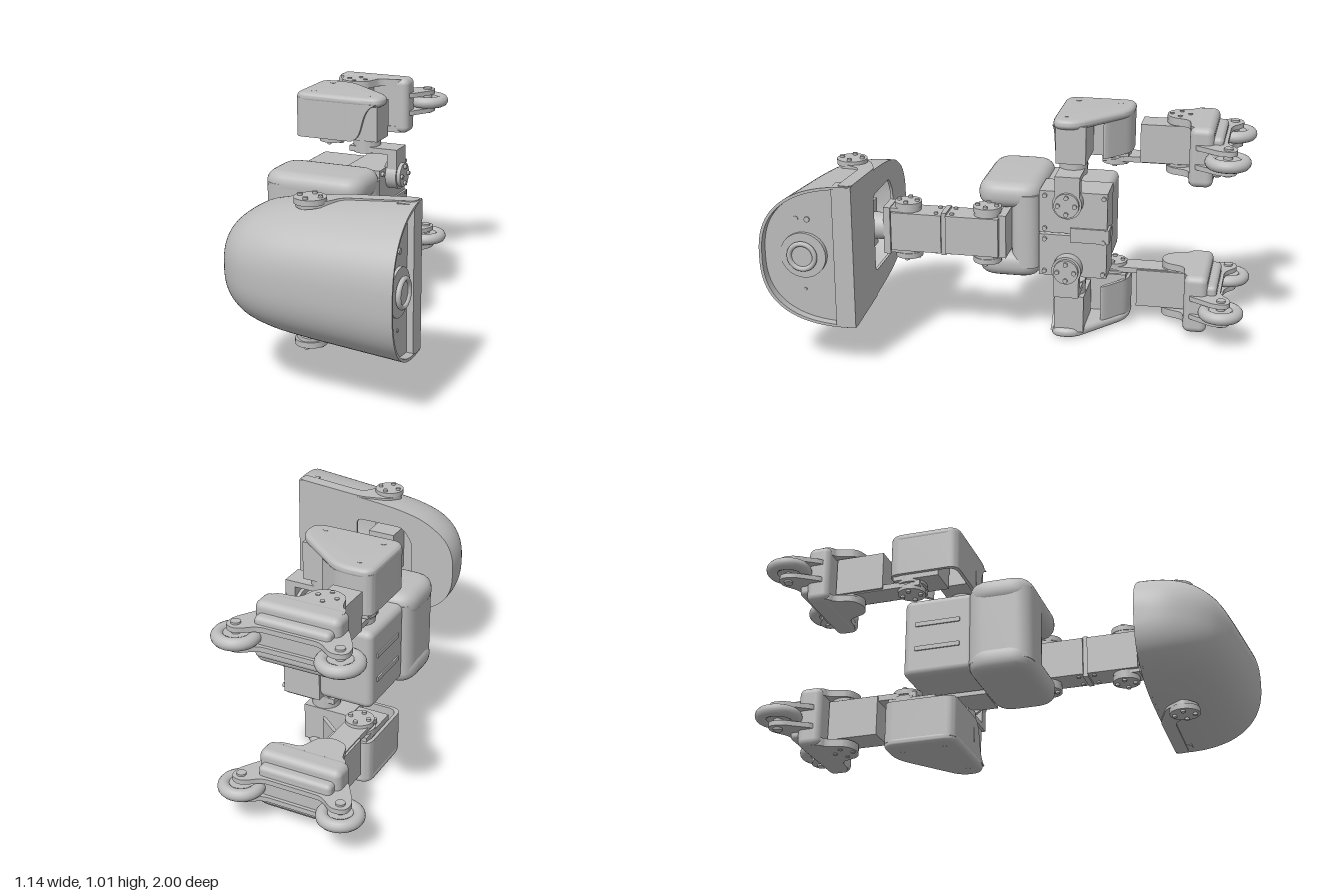
import * as THREE from 'three';
import { toCreasedNormals } from 'three/addons/utils/BufferGeometryUtils.js';
import { RoundedBoxGeometry } from 'three/addons/geometries/RoundedBoxGeometry.js';

const grey = new THREE.MeshStandardMaterial({ color: 0xbdbdbd, side: THREE.DoubleSide });
grey.name = 'light grey';
const MID = 0.507; // height of the symmetry plane

function add(parent, name, geometry) {
  const mesh = new THREE.Mesh(geometry, grey);
  mesh.name = name;
  parent.add(mesh);
  return mesh;
}

// Box given by its limits, optionally rounded
function box(parent, name, x0, x1, y0, y1, z0, z1, r = 0) {
  const s = [x1 - x0, y1 - y0, z1 - z0];
  const g = r ? new RoundedBoxGeometry(...s, 5, r) : new THREE.BoxGeometry(...s);
  g.translate((x0 + x1) / 2, (y0 + y1) / 2, (z0 + z1) / 2);
  return add(parent, name, g);
}

function disc(parent, name, axis, r, len, x, y, z) {
  const g = new THREE.CylinderGeometry(r, r, len, 32);
  if (axis === 'x') g.rotateZ(-Math.PI / 2);
  if (axis === 'z') g.rotateX(Math.PI / 2);
  g.translate(x, y, z);
  return add(parent, name, g);
}

// Servo horn with four bolt heads, on a y or x axis; side is the outward direction
function horn(parent, axis, r, x, y, z, side = 1) {
  const group = new THREE.Group();
  group.name = 'servoHorn';
  disc(group, 'hornDisc', 'y', r, 0.024, 0, 0, 0);
  for (let i = 0; i < 4; i++) {
    const a = i * Math.PI / 2;
    disc(group, 'bolt', 'y', 0.01, 0.012, Math.cos(a) * r * 0.68, side * 0.016, Math.sin(a) * r * 0.68);
  }
  if (axis === 'x') group.rotation.z = -Math.PI / 2;
  group.position.set(x, y, z);
  parent.add(group);
}

// Polygon with rounded corners
function roundedShape(points, r) {
  const s = new THREE.Shape();
  const v = points.map((p) => new THREE.Vector2(...p));
  v.forEach((p, i) => {
    const prev = v[(i + v.length - 1) % v.length], next = v[(i + 1) % v.length];
    const cut = (q) => p.clone().add(q.clone().sub(p).setLength(Math.min(r, q.distanceTo(p) * 0.48)));
    const a = cut(prev), b = cut(next);
    if (i) s.lineTo(a.x, a.y); else s.moveTo(a.x, a.y);
    s.quadraticCurveTo(p.x, p.y, b.x, b.y);
  });
  s.closePath();
  return s;
}

// Horizontal plate from [x, z] points between two heights
function plate(parent, name, points, y0, y1, r, bevel = 0) {
  const shape = roundedShape(points.map(([x, z]) => [x, -z]), r);
  const g = new THREE.ExtrudeGeometry(shape, {
    depth: y1 - y0 - 2 * bevel, curveSegments: 8, bevelEnabled: bevel > 0,
    bevelSize: bevel, bevelThickness: bevel, bevelOffset: -bevel, bevelSegments: 5,
  });
  g.rotateX(-Math.PI / 2).translate(0, y0 + bevel, 0);
  return add(parent, name, toCreasedNormals(g, 0.6));
}

function makeHead() {
  const head = new THREE.Group();
  head.name = 'head';
  // Stations along x: position, half width, height; smoothed by a spline
  const stations = [[-0.282, 0.001, 0.001], [-0.279, 0.06, 0.08], [-0.265, 0.112, 0.145], [-0.238, 0.156, 0.204],
    [-0.2, 0.19, 0.255], [-0.15, 0.221, 0.296], [-0.1, 0.242, 0.321], [0, 0.265, 0.349],
    [0.13, 0.281, 0.366], [0.3, 0.296, 0.381], [0.53, 0.315, 0.4]];
  const key = new THREE.CatmullRomCurve3(stations.map((s) => new THREE.Vector3(...s))).getPoints(40).map((p) => p.toArray());
  const N = 48, pos = [], idx = [];
  const rows = key.map((k) => [...k, 0.6]);
  // Front rim, then the recessed face above the chin
  rows.push([0.53, 0.303, 0.388, 0.685], [0.497, 0.301, 0.386, 0.687], [0.497, 0.002, 0.002, 0.687]);
  for (const [x, w, h, floor] of rows) {
    for (let j = 0; j <= N; j++) {
      const a = Math.PI * j / N, c = Math.cos(a), e = 2 / 2.5;
      const y = Math.sign(c) * Math.abs(c) ** e * w;
      const z = Math.max(0.6 + Math.max(Math.sin(a), 0) ** e * h, floor);
      const lean = Math.max(x, 0) / 0.53 * 0.1 * (z - 0.6);
      pos.push(x + lean, MID + y, z);
    }
  }
  for (let i = 0; i < rows.length - 1; i++) {
    for (let j = 0; j < N; j++) {
      const a = i * (N + 1) + j, b = a + N + 1;
      idx.push(a, b, a + 1, b, b + 1, a + 1);
    }
  }
  const g = new THREE.BufferGeometry();
  g.setAttribute('position', new THREE.Float32BufferAttribute(pos, 3));
  g.setIndex(idx);
  add(head, 'headShell', toCreasedNormals(g, 0.6));

  // Underside with an opening for the neck
  const under = new THREE.Shape();
  key.forEach(([x, w], i) => (i ? under.lineTo(x, MID + w) : under.moveTo(x, MID + w)));
  [...key].reverse().forEach(([x, w]) => under.lineTo(x, MID - w));
  under.holes.push(roundedShape([[-0.07, 0.4], [-0.02, 0.33], [0.22, 0.33], [0.22, 0.684], [-0.02, 0.684], [-0.07, 0.614]], 0.03));
  const ug = new THREE.ExtrudeGeometry(under, { depth: 0.012, bevelEnabled: false });
  add(head, 'headUnderside', ug.translate(0, 0, 0.6));
  box(head, 'chin', 0.46, 0.532, 0.196, 0.818, 0.6, 0.685);

  // Eye and sensors
  disc(head, 'eyeRing', 'x', 0.1, 0.03, 0.517, MID, 0.82);
  const ring = new THREE.TorusGeometry(0.056, 0.011, 10, 40).rotateY(Math.PI / 2).translate(0.545, MID, 0.82);
  add(head, 'eyeBarrel', ring);
  disc(head, 'eyeLens', 'x', 0.05, 0.02, 0.535, MID, 0.82);
  for (const z of [0.8, 0.85]) disc(head, 'sensor', 'x', 0.012, 0.006, 0.52, 0.665, z);
  disc(head, 'microphone', 'x', 0.007, 0.006, 0.52, 0.35, 0.82);

  // Jaw straps sloping along the shell, and hinges on both sides
  for (const s of [-1, 1]) {
    const y = MID + s * 0.278;
    const strap = plate(head, 'jawStrap', [[0.53, 0.6], [0.53, 0.66], [0.22, 0.66], [0.15, 0.77], [0.1, 0.79], [0.04, 0.73], [0.08, 0.65], [0.2, 0.6]], y - 0.01, y + 0.01, 0.03);
    strap.geometry.translate(-0.11, -y, 0).rotateZ(s * 0.072).translate(0.11, y, 0);
    horn(head, 'y', 0.066, 0.11, MID + s * 0.295, 0.725, s);
  }
  box(head, 'headServo', 0.045, 0.175, 0.4, 0.614, 0.64, 0.79);
  box(head, 'headServoBracket', -0.03, 0.2, 0.36, 0.654, 0.76, 0.79);
  return head;
}

function makeNeck() {
  const neck = new THREE.Group();
  neck.name = 'neck';
  disc(neck, 'neckSwivel', 'z', 0.06, 0.08, 0.11, MID, 0.6);
  box(neck, 'upperFork', 0.05, 0.17, 0.4, 0.614, 0.545, 0.575);
  box(neck, 'upperServo', 0.045, 0.175, 0.42, 0.594, 0.315, 0.54);
  box(neck, 'neckLink', 0.055, 0.165, 0.41, 0.604, 0.293, 0.315);
  box(neck, 'lowerServo', 0.045, 0.175, 0.42, 0.594, 0.06, 0.295);
  box(neck, 'neckBase', -0.1, 0.15, 0.41, 0.604, 0.03, 0.065);
  for (const s of [-1, 1]) {
    for (const [z, r] of [[0.475, 0.06], [0.12, 0.062]]) {
      horn(neck, 'y', r, 0.11, MID + s * 0.115, z, s);
      disc(neck, 'forkArm', 'y', r * 0.95, 0.02, 0.11, MID + s * 0.095, z);
    }
    box(neck, 'forkSide', 0.06, 0.16, MID + s * 0.095 - 0.008, MID + s * 0.095 + 0.008, 0.475, 0.575);
    for (const x of [0.07, 0.15]) for (const z of [0.27, 0.34]) disc(neck, 'screw', 'y', 0.009, 0.01, x, MID + s * 0.09, z);
  }
  return neck;
}

function makeBody() {
  const body = new THREE.Group();
  body.name = 'body';
  // Torso: two padded halves around a core that leaves a bay for the neck
  const half = [[-0.39, -0.105], [0.08, -0.105], [0.08, 0.18], [-0.39, 0.18]];
  const core = [[-0.382, -0.105], [0.08, -0.105], [0.08, 0.03], [-0.14, 0.03], [-0.14, 0.18], [-0.382, 0.18]];
  for (const s of [-1, 1]) {
    const y = MID + s * 0.159;
    plate(body, 'torsoHalf', half, y - 0.058, y + 0.058, 0.1, 0.05);
  }
  plate(body, 'torsoCore', core, 0.34, 0.674, 0.08);
  // Rear pack with raised ribs
  box(body, 'rearPack', -0.35, -0.1, 0.325, 0.689, -0.395, -0.08, 0.03);
  for (const y of [0.45, 0.564]) box(body, 'packRib', -0.356, -0.3, y - 0.01, y + 0.01, -0.34, -0.14);
  for (const s of [-1, 1]) {
    const y = MID + s * 0.1;
    box(body, 'hipServo', -0.11, 0.06, y - 0.095, y + 0.095, -0.4, -0.1);
    for (const z of [-0.385, -0.125]) for (const dy of [-0.075, 0.075]) disc(body, 'screw', 'x', 0.01, 0.02, 0.063, y + dy, z);
    disc(body, 'torsoScrew', 'y', 0.014, 0.02, -0.32, MID + s * 0.205, 0.12);
  }
  box(body, 'connector', 0.0, 0.07, 0.475, 0.54, -0.41, -0.24);
  return body;
}

// Upper leg, foot and wheels of one side
function makeLeg() {
  const leg = new THREE.Group();
  leg.name = 'leg';
  // Hip joint
  disc(leg, 'hipHub', 'x', 0.065, 0.06, 0.08, 0.66, -0.23);
  horn(leg, 'x', 0.055, 0.115, 0.66, -0.23);
  box(leg, 'hipFork', 0.065, 0.11, 0.66, 0.775, -0.285, -0.175);
  box(leg, 'hipBridge', -0.12, 0.11, 0.76, 0.785, -0.285, -0.175);
  disc(leg, 'hipCollar', 'y', 0.062, 0.07, -0.055, 0.79, -0.23);

  // Thigh cover: open wall, top plate and swept side fin
  plate(leg, 'thighWall', [[-0.1, -0.147], [-0.38, -0.147], [-0.38, -0.465], [-0.23, -0.465], [-0.1, -0.362],
    [-0.108, -0.346], [-0.235, -0.45], [-0.365, -0.45], [-0.365, -0.162], [-0.1, -0.162]], 0.81, 0.99, 0.045);
  plate(leg, 'thighTop', [[-0.382, -0.145], [0.0, -0.145], [0.04, -0.17], [0.04, -0.26], [-0.22, -0.468], [-0.382, -0.468]], 0.97, 1.013, 0.06, 0.021);
  const fin = new THREE.Shape();
  fin.moveTo(-0.12, 0.812);
  fin.lineTo(-0.1, 0.812);
  fin.bezierCurveTo(-0.03, 0.83, -0.07, 0.96, 0.02, 0.985);
  fin.lineTo(-0.12, 0.985);
  const fg = new THREE.ExtrudeGeometry(fin, { depth: 0.015, bevelEnabled: false });
  add(leg, 'thighFin', fg.translate(0, 0, -0.162));
  box(leg, 'thighServo', -0.2, 0.02, 0.815, 0.985, -0.295, -0.163);
  box(leg, 'kneeServo', -0.36, -0.22, 0.79, 0.985, -0.45, -0.24);
  for (const [x, z] of [[-0.3, -0.4], [-0.31, -0.21], [-0.04, -0.2]]) disc(leg, 'coverScrew', 'y', 0.012, 0.004, x, 1.012, z);

  // Knee and shin
  disc(leg, 'kneeDisc', 'y', 0.068, 0.035, -0.295, 0.795, -0.385);
  horn(leg, 'y', 0.062, -0.295, 0.757, -0.385, -1);
  box(leg, 'shinStrap', -0.35, -0.24, 0.76, 0.785, -0.69, -0.33);
  box(leg, 'shinServo', -0.36, -0.23, 0.765, 0.94, -0.72, -0.5);
  horn(leg, 'y', 0.06, -0.295, 0.962, -0.67);
  horn(leg, 'y', 0.06, -0.295, 0.75, -0.67, -1);

  // Foot
  const ankle = [[-0.42, -0.78], [-0.08, -0.78], [-0.1, -0.73], [-0.2, -0.72], [-0.23, -0.63], [-0.295, -0.605], [-0.36, -0.63], [-0.385, -0.72], [-0.41, -0.73]];
  plate(leg, 'anklePlateOuter', ankle, 0.945, 0.98, 0.03);
  plate(leg, 'anklePlateInner', ankle, 0.72, 0.75, 0.03);
  box(leg, 'foot', -0.43, -0.06, 0.715, 0.983, -0.835, -0.73, 0.03);
  box(leg, 'sole', -0.41, -0.08, 0.76, 0.94, -0.875, -0.8, 0.02);
  const yoke = [[-0.51, -0.93], [-0.45, -0.945], [-0.38, -0.89], [-0.11, -0.89], [-0.04, -0.945], [0.015, -0.93], [0.015, -0.87], [-0.06, -0.75], [-0.43, -0.75], [-0.51, -0.87]];
  for (const y of [0.802, 0.888]) plate(leg, 'wheelYoke', yoke, y, y + 0.022, 0.03);
  for (const x of [-0.47, -0.02]) {
    const tyre = new THREE.TorusGeometry(0.073, 0.027, 14, 40).rotateX(Math.PI / 2).translate(x, 0.855, -0.9);
    add(leg, 'tyre', tyre);
    disc(leg, 'wheelHub', 'y', 0.06, 0.03, x, 0.855, -0.9);
    disc(leg, 'axle', 'y', 0.02, 0.125, x, 0.856, -0.9);
  }
  return leg;
}

export function createModel() {
  const model = new THREE.Group();
  model.name = 'wheeledRobot';
  const left = makeLeg(), right = makeLeg();
  left.name = 'upperLeg';
  right.name = 'lowerLeg';
  right.scale.y = -1;
  right.position.y = 2 * MID;
  model.add(makeHead(), makeNeck(), makeBody(), left, right);
  return model;
}
